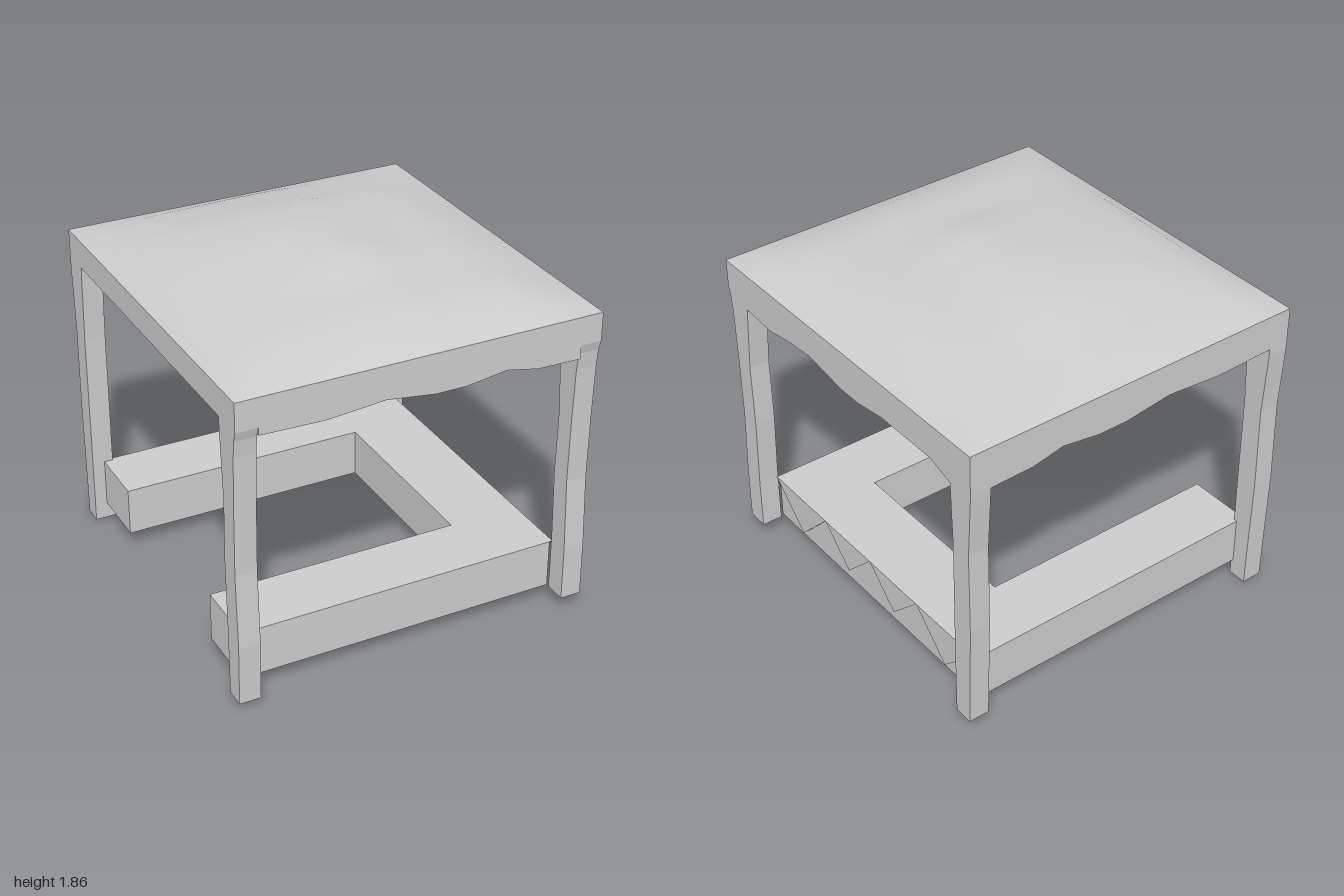
import * as THREE from 'three';

const HALF_X = 0.945, HALF_Z = 1, RIM_Y = 1.67, UNDER_Y = 1.52, THICK = 0.112;

export function createModel() {
  const model = new THREE.Group();
  const material = new THREE.MeshStandardMaterial({ color: 0xcccccc });

  const add = (name, geometry) => {
    const mesh = new THREE.Mesh(geometry, material);
    mesh.name = name;
    model.add(mesh);
  };

  const extrude = (points, depth) => new THREE.ExtrudeGeometry(
    new THREE.Shape(points.map(([a, b]) => new THREE.Vector2(a, b))),
    { depth, bevelEnabled: false });

  // Outline drawn in (z, y), extruded towards -x from xOuter
  const extrudeSide = (points, depth, xOuter) =>
    extrude(points, depth).rotateY(-Math.PI / 2).translate(xOuter, 0, 0);

  // Linear lookup in a list of [position, value]
  const sample = (list, t) => {
    let i = 1;
    while (i < list.length - 1 && list[i][0] < t) i++;
    const [a, va] = list[i - 1], [b, vb] = list[i];
    return va + (vb - va) * THREE.MathUtils.clamp((t - a) / (b - a), 0, 1);
  };

  // Slab with a softly bulging upper face: two profiles plus a low off-centre swell
  const acrossX = [[-0.945, 0], [-0.83, 0.075], [-0.5, 0.15], [-0.3, 0.167], [-0.2, 0.188],
    [0.07, 0.195], [0.35, 0.145], [0.6, 0.125], [0.83, 0.05], [0.945, 0]];
  const acrossZ = [[-1, 0], [-0.86, 0.055], [-0.7, 0.09], [-0.5, 0.15], [-0.33, 0.175],
    [-0.12, 0.195], [0.27, 0.168], [0.47, 0.13], [0.62, 0.125], [0.82, 0.09], [1, 0]];
  const bulge = (x, z) => {
    const f = sample(acrossX, x), g = sample(acrossZ, z);
    const swell = 0.025 * Math.exp(-((x - 0.02) ** 2 + (z - 0.25) ** 2) / 0.03);
    return 0.7 * f * g / 0.195 + 0.3 * Math.min(f, g) + swell;
  };
  const slab = new THREE.BoxGeometry(HALF_X * 2, RIM_Y - UNDER_Y, HALF_Z * 2, 16, 1, 16)
    .translate(0, (RIM_Y + UNDER_Y) / 2, 0);
  const pos = slab.attributes.position;
  for (let i = 0; i < pos.count; i++) {
    const x = pos.getX(i), z = pos.getZ(i);
    const inside = Math.abs(x) < HALF_X - 0.001 && Math.abs(z) < HALF_Z - 0.001;
    if (inside && pos.getY(i) > RIM_Y - 0.01) pos.setY(i, RIM_Y + bulge(x, z));
  }
  slab.computeVertexNormals();
  add('bulgingTop', slab);

  // Wavy aprons on the front, the back and the +x side
  const apron = edge => [...edge, [edge.at(-1)[0], UNDER_Y], [edge[0][0], UNDER_Y]];
  const longWave = apron([[-0.833, 1.48], [-0.5, 1.47], [-0.2, 1.495], [0.06, 1.46],
    [0.22, 1.46], [0.43, 1.49], [0.6, 1.455], [0.833, 1.45]]);
  const sideWave = apron([[-0.85, 1.44], [-0.7, 1.485], [-0.33, 1.485],
    [-0.13, 1.455], [0, 1.455], [0.27, 1.495], [0.45, 1.48], [0.62, 1.45], [0.83, 1.465]]);
  add('frontApron', extrude(longWave, THICK).translate(0, 0, HALF_Z - THICK));
  add('backApron', extrude(longWave, THICK).translate(0, 0, -HALF_Z));
  add('leftApron', extrudeSide(sideWave, THICK, HALF_X));

  // Gently bowed legs of slightly different lengths: [y, inner z, outer z]
  const frontLeg = [[1.52, 0.83, 1], [1.47, 0.83, 0.985], [1.38, 0.836, 0.975],
    [1.1, 0.857, 0.965], [0.75, 0.85, 0.96], [0.36, 0.865, 0.98]];
  const backLeg = [[1.52, -0.845, -1], [1.44, -0.85, -1], [1.1, -0.865, -0.98],
    [0.65, -0.865, -0.987], [0.36, -0.867, -0.98]];
  const addLeg = (name, rows, foot, xOuter) => {
    const all = [...rows, foot];
    const outline = [...all.map(r => [r[1], r[0]]), ...all.reverse().map(r => [r[2], r[0]])];
    add(name, extrudeSide(outline, THICK, xOuter));
  };
  addLeg('frontLeftLeg', frontLeg, [0.075, 0.865, 0.982], HALF_X);
  addLeg('backLeftLeg', backLeg, [0.07, -0.87, -0.973], HALF_X);
  addLeg('frontRightLeg', frontLeg, [0.035, 0.87, 0.975], THICK - HALF_X);
  addLeg('backRightLeg', backLeg, [0, -0.87, -0.973], THICK - HALF_X);

  // U-shaped base, open towards -x; outline in (x, -z), lifted to y 0.09 to 0.35
  const base = [[-0.88, -0.866], [0.822, -0.866], [0.822, 0.885], [-0.88, 0.885],
    [-0.88, 0.533], [0.46, 0.533], [0.46, -0.51], [-0.88, -0.51]];
  add('baseFrame', extrude(base, 0.26).rotateX(-Math.PI / 2).translate(0, 0.09, 0));

  // Row of hanging triangles on the outer face of the base
  const teeth = [[-0.866, -0.63, -0.4, 0.12], [-0.4, -0.2, 0, 0.155],
    [0, 0.2, 0.4, 0.155], [0.4, 0.63, 0.866, 0.12]];
  teeth.forEach(([a, tip, b, y], i) =>
    add(`baseTriangle${i + 1}`, extrudeSide([[a, 0.35], [tip, y], [b, 0.35]], 0.018, 0.84)));

  return model;
}
